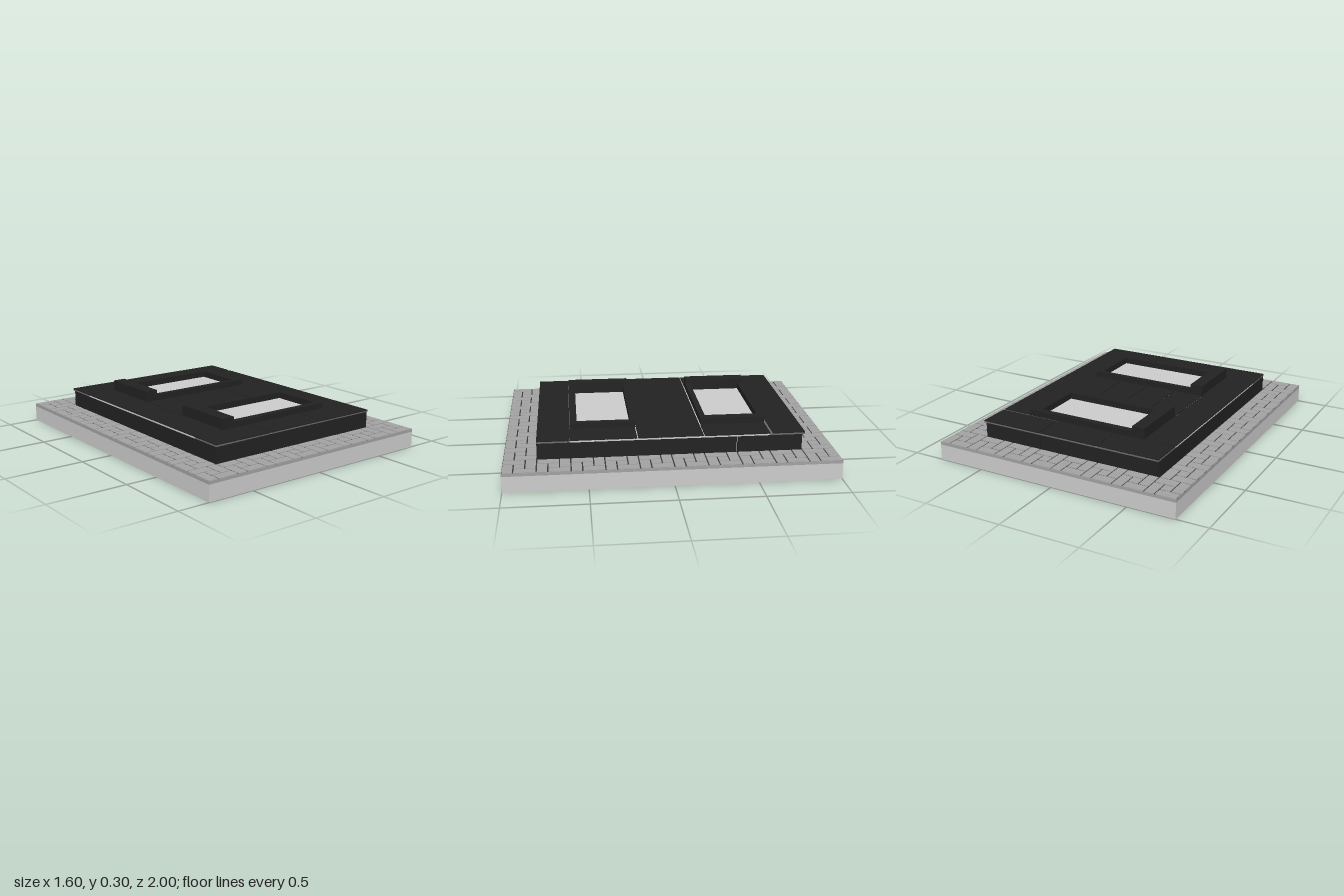
import * as THREE from 'three';

const mat = (name, color) => {
  const m = new THREE.MeshStandardMaterial({ color });
  m.name = name;
  return m;
};

export function createModel() {
  const concrete = mat('pale concrete', 0xcccccc);
  const granite = mat('black granite', 0x222222);
  const brick = mat('grey paving', 0xa2a2a2);
  const joint = mat('dark joint', 0x3a3a3a);
  const mortar = mat('grey mortar', 0x6a6a6a);

  const model = new THREE.Group();
  model.name = 'doubleMemorial';
  const group = (name) => {
    const g = new THREE.Group();
    g.name = name;
    model.add(g);
    return g;
  };
  // Box given by its limits on each axis
  const box = (parent, name, material, x0, x1, y0, y1, z0, z1) => {
    const mesh = new THREE.Mesh(new THREE.BoxGeometry(x1 - x0, y1 - y0, z1 - z0), material);
    mesh.position.set((x0 + x1) / 2, (y0 + y1) / 2, (z0 + z1) / 2);
    mesh.name = name;
    parent.add(mesh);
  };

  // Foundation and the dark bed seen between the pavers
  box(model, 'foundation', concrete, -0.8, 0.8, 0, 0.1, -1, 1);
  box(model, 'pavingBed', joint, -0.798, 0.798, 0.1, 0.116, -0.998, 0.998);

  // Border of pinwheel paving: four bricks around a small square per cell
  const paving = group('paving');
  const u = 0.2 / 3, gap = 0.004;
  const pinwheel = [[0, 0, 2, 1], [2, 0, 1, 2], [1, 2, 2, 1], [0, 1, 1, 2], [1, 1, 1, 1]];
  for (let i = 0; i < 8; i++) {
    for (let j = 0; j < 10; j++) {
      if (i > 0 && i < 7 && j > 0 && j < 9) continue;
      for (const [a, b, w, d] of pinwheel) {
        const x = -0.8 + i * 0.2 + a * u, z = -1 + j * 0.2 + b * u;
        box(paving, 'paver', brick, x + gap, x + w * u - gap, 0.1, 0.12, z + gap, z + d * u - gap);
      }
    }
  }
  // Edge course closing the outside of the paving
  for (const s of [-1, 1]) {
    box(paving, 'edgeCourse', brick, s * 0.799 - 0.001, s * 0.799 + 0.001, 0.1, 0.118, -1, 1);
    box(paving, 'edgeCourse', brick, -0.8, 0.8, 0.1, 0.118, s * 0.999 - 0.001, s * 0.999 + 0.001);
  }

  // Plinth core with granite cladding
  box(model, 'plinthCore', concrete, -0.588, 0.588, 0.116, 0.22, -0.79, 0.79);
  const cladding = group('cladding');
  for (const s of [-1, 1]) {
    const z0 = s > 0 ? 0.79 : -0.8;
    box(cladding, 'endPanel', granite, -0.588, 0.198, 0.116, 0.22, z0, z0 + 0.01);
    box(cladding, 'endPanel', granite, 0.203, 0.585, 0.116, 0.22, z0, z0 + 0.01);
  }
  box(cladding, 'leftPanel', granite, 0.588, 0.598, 0.116, 0.22, -0.397, 0.796);
  box(cladding, 'leftPanel', granite, 0.588, 0.598, 0.116, 0.22, -0.798, -0.402);
  box(cladding, 'rightPanel', granite, -0.598, -0.588, 0.116, 0.22, -0.798, 0.796);

  // Bed of the top: pale in the middle, grey at the ends
  box(model, 'middleBed', concrete, -0.6, 0.6, 0.218, 0.228, -0.6, 0.6);
  box(model, 'frontBed', mortar, -0.6, 0.6, 0.218, 0.228, 0.6, 0.8);
  box(model, 'rearBed', mortar, -0.6, 0.6, 0.218, 0.228, -0.815, -0.6);

  // Thin granite top tiles
  const tiles = group('topTiles');
  const tile = (x0, x1, z0, z1) => {
    const g = 0.003;
    const ex = (v) => (Math.abs(v) > 0.595 ? 0 : g);
    box(tiles, 'topTile', granite, x0 + ex(x0), x1 - ex(x1), 0.227, 0.233, z0 + g, z1 - (z1 > 0.7 ? 0 : g));
  };
  for (let i = 0; i < 3; i++) {
    const x = -0.6 + i * 0.4;
    tile(x, x + 0.4, 0.6, 0.8);
    tile(x, x + 0.4, -0.818, i === 2 ? -0.615 : -0.607);
  }
  const columns = [-0.6, -0.4, -0.2, 0, 0.205, 0.6];
  for (let i = 0; i < 5; i++) tile(columns[i], columns[i + 1], -0.2, 0.2);
  for (const z of [-0.605, 0.2]) {
    tile(-0.6, -0.395, z, z + 0.405);
    tile(0.405, 0.6, z, z + 0.405);
  }

  // Two raised frames, each with a tall head block and a pale bed inside
  const frame = (name, z0, z1, inner0, inner1, innerX) => {
    const g = group(name);
    box(g, 'headBlock', granite, -0.4, -0.317, 0.225, 0.3, z0, z1);
    box(g, 'rearRail', granite, -0.317, innerX, 0.225, 0.268, z0, inner0);
    box(g, 'frontRail', granite, -0.317, innerX, 0.225, 0.268, inner1, z1);
    box(g, 'footRail', granite, innerX, 0.403, 0.225, 0.268, z0, z1);
  };
  frame('frontFrame', 0.2, 0.6, 0.23, 0.557, 0.365);
  frame('rearFrame', -0.605, -0.205, -0.567, -0.24, 0.335);

  return model;
}
